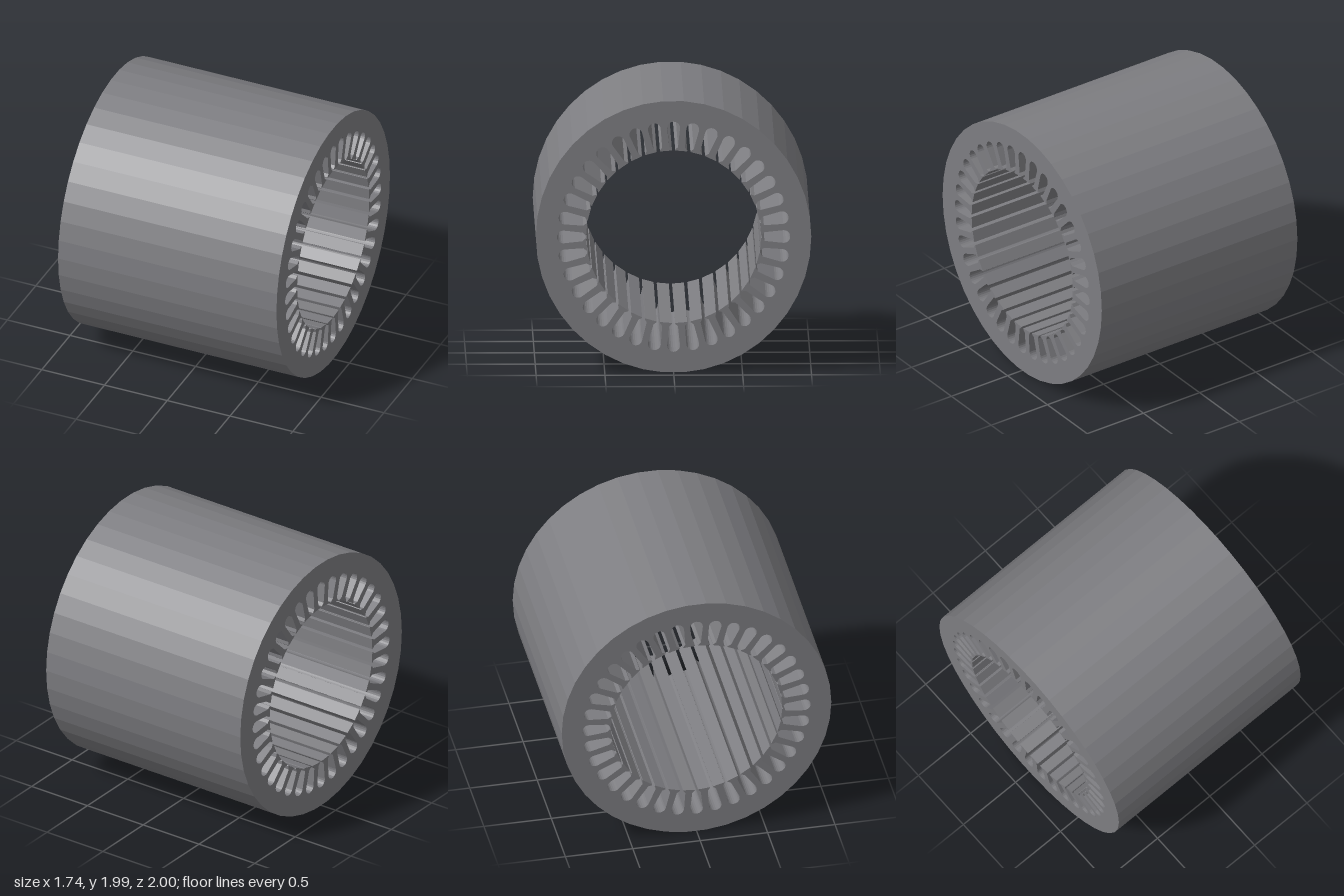
import * as THREE from 'three';

const SLOTS = 36, SIDES = 42, LENGTH = 1.74;
const BORE = 0.635;

// Half outline of a slot as [radius, half width], bore to the round end
const SLOT_SIDE = [[BORE, 0.012], [0.641, 0.012], [0.66, 0.032]];
const END_RADIUS = 0.8, END_HALF = 0.047, END_STEPS = 10;

function slotOutline() {
  const side = SLOT_SIDE.map(([r, w]) => new THREE.Vector2(r, -w));
  const end = [];
  for (let i = 0; i <= END_STEPS; i++) {
    const a = -Math.PI / 2 + (Math.PI * i) / END_STEPS;
    end.push(new THREE.Vector2(END_RADIUS + END_HALF * Math.cos(a), END_HALF * Math.sin(a)));
  }
  const back = side.map((p) => new THREE.Vector2(p.x, -p.y)).reverse();
  return [...side, ...end, ...back];
}

export function createModel() {
  const group = new THREE.Group();
  group.name = 'statorCore';

  // Faceted outer rim
  const rim = [];
  for (let i = 0; i < SIDES; i++) {
    const a = (i / SIDES) * Math.PI * 2;
    rim.push(new THREE.Vector2(Math.cos(a), Math.sin(a)));
  }
  const shape = new THREE.Shape(rim);

  // Bore and all slots form one continuous opening
  const outline = slotOutline();
  const opening = [];
  const origin = new THREE.Vector2();
  for (let i = 0; i < SLOTS; i++) {
    const a = (i / SLOTS) * Math.PI * 2;
    for (const p of outline) opening.push(p.clone().rotateAround(origin, a));
  }
  shape.holes.push(new THREE.Path(opening));

  // Extruded along the axis, then laid along x
  const geometry = new THREE.ExtrudeGeometry(shape, { depth: LENGTH, bevelEnabled: false });
  geometry.translate(0, 0, -LENGTH / 2);
  geometry.rotateY(Math.PI / 2);
  geometry.translate(0, Math.cos(Math.PI / SIDES), 0);

  // Dark steel
  const core = new THREE.Mesh(
    geometry,
    new THREE.MeshStandardMaterial({ color: 0x7d7d81, flatShading: true })
  );
  core.name = 'slottedCore';
  group.add(core);
  return group;
}
